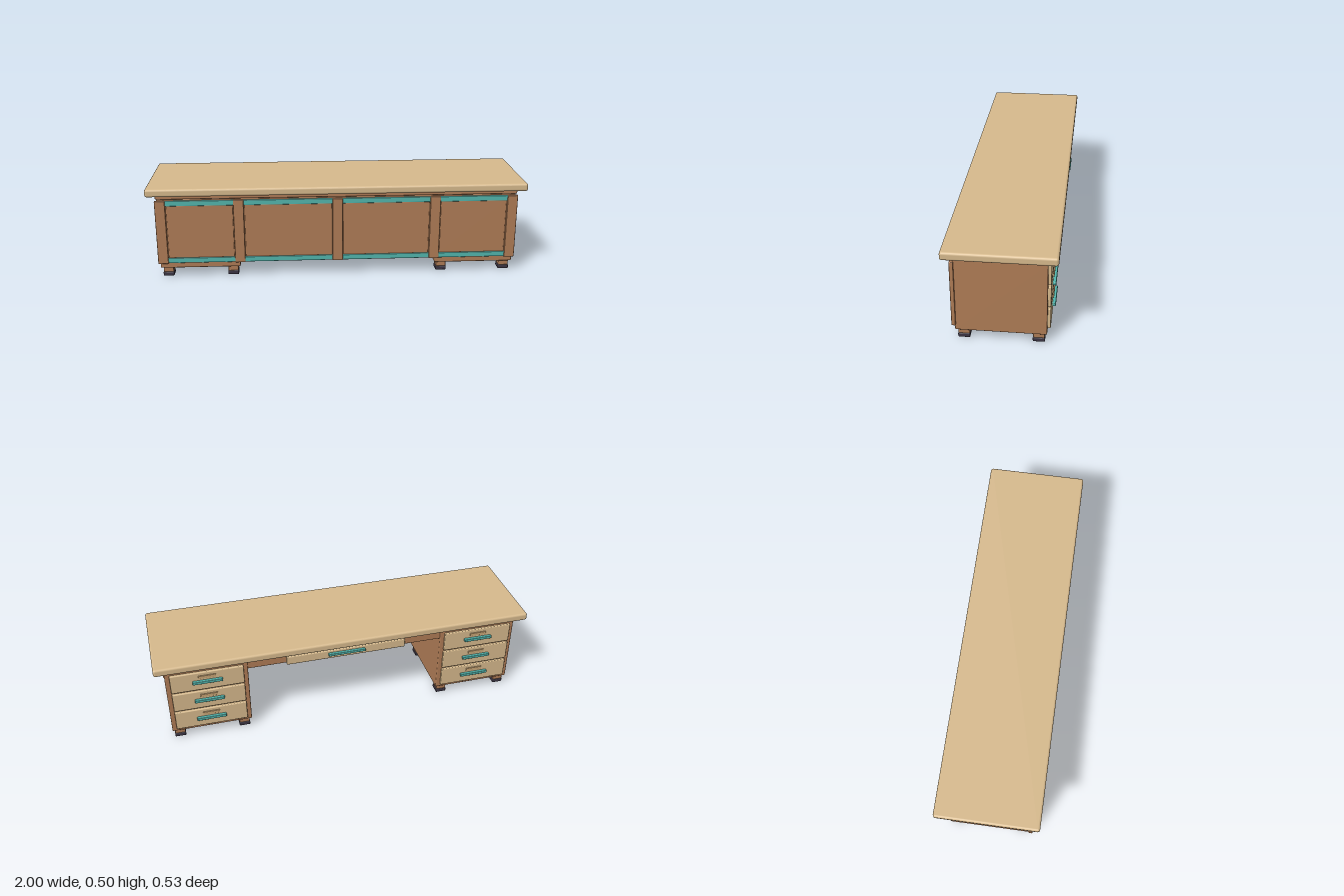
import * as THREE from 'three';
import { RoundedBoxGeometry } from 'three/addons/geometries/RoundedBoxGeometry.js';

const paint = (name, color) => {
  const m = new THREE.MeshStandardMaterial({ color });
  m.name = name;
  return m;
};

export function createModel() {
  const desk = new THREE.Group();
  desk.name = 'desk';
  const tan = paint('light wood', 0xd6b98c);
  const brown = paint('brown wood', 0xaf7c56);
  const teal = paint('teal trim', 0x52b5ad);
  const dark = paint('dark rubber', 0x3b3442);
  const plate = paint('label wood', 0xc8a474);

  // Soft-edged box given by its lower and upper limits on each axis
  const block = (name, mat, [x0, x1], [y0, y1], [z0, z1], radius = 0.004, parent = desk) => {
    const mesh = new THREE.Mesh(
      new RoundedBoxGeometry(x1 - x0, y1 - y0, z1 - z0, 2, radius), mat);
    mesh.position.set((x0 + x1) / 2, (y0 + y1) / 2, (z0 + z1) / 2);
    mesh.name = name;
    parent.add(mesh);
    return mesh;
  };
  const around = (c, size) => [c - size / 2, c + size / 2];

  // Top and the frame under it
  block('deskTop', tan, [-1, 1], [0.46, 0.502], [-0.266, 0.266], 0.012);
  block('topFrame', brown, [-0.953, 0.953], [0.437, 0.461], [-0.229, 0.23], 0.005);

  // Pedestals with feet and three drawers each
  for (const side of [-1, 1]) {
    const pedestal = new THREE.Group();
    pedestal.name = side > 0 ? 'leftPedestal' : 'rightPedestal';
    desk.add(pedestal);
    const cx = side * 0.737;
    block('pedestalBody', brown, around(cx, 0.425), [0.05, 0.438], [-0.216, 0.217], 0.006, pedestal);

    for (const fx of [cx - 0.173, cx + 0.173]) {
      for (const fz of [-0.177, 0.177]) {
        block('footBlock', brown, around(fx, 0.054), [0.021, 0.052], around(fz, 0.055), 0.005, pedestal);
        block('footPad', dark, around(fx, 0.058), [0, 0.023], around(fz, 0.058), 0.005, pedestal);
      }
    }

    for (const cy of [0.367, 0.247, 0.127]) {
      block('drawerFront', tan, around(cx, 0.378), around(cy, 0.11), [-0.231, -0.214], 0.005, pedestal);
      block('drawerLabel', plate, around(cx, 0.09), around(cy + 0.028, 0.017), [-0.236, -0.228], 0.002, pedestal);
      block('drawerHandle', teal, around(cx, 0.155), around(cy, 0.017), [-0.247, -0.229], 0.004, pedestal);
    }
  }

  // Knee space: rail, shallow middle drawer and its handle
  block('rail', brown, [-0.53, 0.53], [0.385, 0.438], [-0.211, -0.19]);
  block('middleDrawer', tan, [-0.322, 0.322], [0.379, 0.428], [-0.225, -0.205], 0.005);
  block('middleHandle', teal, [-0.1, 0.1], [0.401, 0.416], [-0.24, -0.222]);

  // Front panelling: posts with recessed panels and teal strips between them
  block('modestyPanel', brown, [-0.54, 0.54], [0.08, 0.438], [0.195, 0.217]);
  const posts = [-0.931, -0.523, -0.002, 0.518, 0.931];
  posts.forEach((x, i) => {
    block('frontPost', brown, around(x, 0.055), [0.079, 0.428], [0.212, 0.232]);
    if (i === posts.length - 1) return;
    const span = [x + 0.024, posts[i + 1] - 0.024];
    block('frontPanel', brown, [span[0] + 0.006, span[1] - 0.006], [0.108, 0.4], [0.21, 0.221], 0.003);
    for (const y of [0.095, 0.413]) {
      block('trimStrip', teal, span, around(y, 0.028), [0.21, 0.227], 0.003);
    }
  });

  return desk;
}
